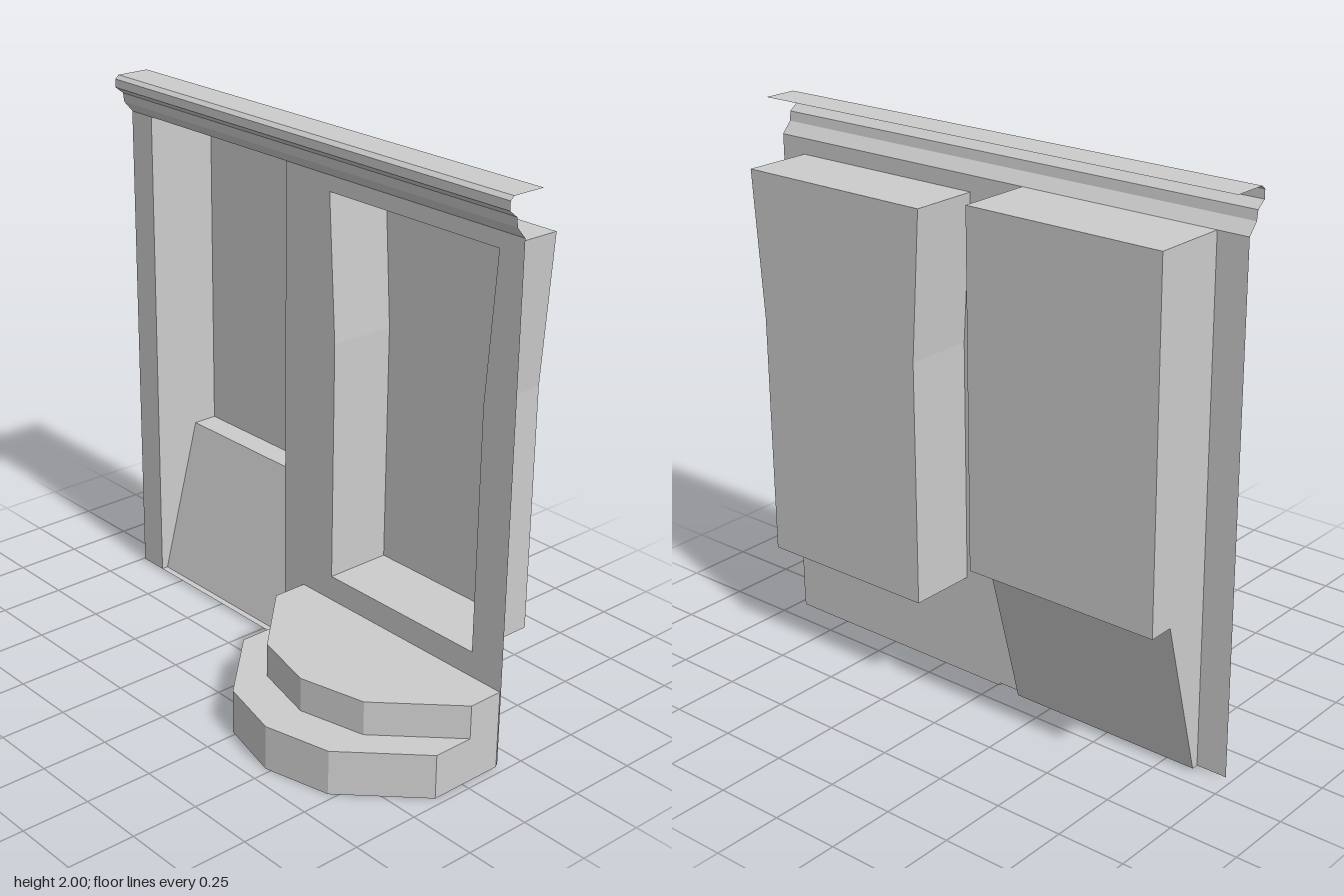
import * as THREE from 'three';

const material = new THREE.MeshStandardMaterial({
  color: 0xcccccc, flatShading: true, side: THREE.DoubleSide,
});
const WALL_Z = -0.16, WALL_TOP = 1.857, WALL_BOTTOM = 0.01;
const LEFT = -0.98, RIGHT = 0.975;

function part(name, geometry, parent) {
  const mesh = new THREE.Mesh(geometry, material);
  mesh.name = name;
  parent.add(mesh);
  return mesh;
}

const shapeOf = (points) => new THREE.Shape(points.map(([x, y]) => new THREE.Vector2(x, y)));

// Flat facets joining two matching rows of 3D points
function strip(a, b) {
  const pos = [];
  for (let i = 0; i < a.length - 1; i++) {
    pos.push(...a[i], ...b[i], ...b[i + 1], ...a[i], ...b[i + 1], ...a[i + 1]);
  }
  const geometry = new THREE.BufferGeometry();
  geometry.setAttribute('position', new THREE.Float32BufferAttribute(pos, 3));
  geometry.computeVertexNormals();
  return geometry;
}

// Sweep a [z, y] profile along x
const sweepX = (profile, x0, x1) =>
  strip(profile.map(([z, y]) => [x0, y, z]), profile.map(([z, y]) => [x1, y, z]));

export function createModel() {
  const model = new THREE.Group();
  model.name = 'wallWithAlcoves';

  // Tapered niche outline, clockwise from the lower left corner
  const nicheOutline = [[0.14, 0.383], [0.14, 1.27], [0.105, 1.8], [0.873, 1.8], [0.837, 1.27], [0.837, 0.383]];
  const alcoveX = [-0.865, -0.115];

  // Wall panels either side of the tall alcove
  const panel = (x0, x1) =>
    shapeOf([[x0, WALL_BOTTOM], [x1, WALL_BOTTOM], [x1, WALL_TOP], [x0, WALL_TOP]]);
  const nichePanel = panel(alcoveX[1], RIGHT);
  nichePanel.holes.push(shapeOf(nicheOutline));
  part('wallEdge', new THREE.ShapeGeometry(panel(LEFT, alcoveX[0])), model).position.z = WALL_Z;
  part('wallPanel', new THREE.ShapeGeometry(nichePanel), model).position.z = WALL_Z;

  // Niche recessed behind the panel
  const niche = new THREE.Group();
  niche.name = 'niche';
  model.add(niche);
  const nicheBack = -0.415;
  const loop = [...nicheOutline, nicheOutline[0]];
  part('nicheSides', strip(
    loop.map(([x, y]) => [x, y, WALL_Z]),
    loop.map(([x, y]) => [x, y, nicheBack]),
  ), niche);
  part('nicheBack', new THREE.ShapeGeometry(shapeOf(nicheOutline)), niche).position.z = nicheBack;

  // Tall alcove with a sloping base and ledge
  const alcove = new THREE.Group();
  alcove.name = 'alcove';
  model.add(alcove);
  const alcoveProfile = [
    [WALL_Z, WALL_BOTTOM], [-0.185, WALL_BOTTOM], [-0.34, 0.597],
    [-0.435, 0.597], [-0.435, WALL_TOP], [WALL_Z, WALL_TOP],
  ];
  part('alcoveShell', sweepX(alcoveProfile, ...alcoveX), alcove);
  for (const x of alcoveX) {
    const side = new THREE.ShapeGeometry(shapeOf(alcoveProfile.map(([z, y]) => [-z, y])));
    side.rotateY(Math.PI / 2);
    part('alcoveSide', side, alcove).position.x = x;
  }

  // Open moulding along the top
  part('cornice', sweepX([
    [WALL_Z, WALL_TOP], [-0.125, 1.897], [-0.12, 1.931], [-0.088, 1.956],
    [-0.088, 1.987], [-0.103, 2], [-0.23, 2],
  ], LEFT, RIGHT), model);

  // Two faceted steps
  const addStep = (name, frontZ, y, height) => {
    const outline = [
      [-0.01, WALL_Z], [-0.01, frontZ - 0.31], [0.235, frontZ - 0.06], [0.48, frontZ],
      [0.725, frontZ - 0.06], [0.97, frontZ - 0.31], [0.97, WALL_Z],
    ];
    const geometry = new THREE.ExtrudeGeometry(
      shapeOf(outline.map(([x, z]) => [x, -z])), { depth: height, bevelEnabled: false });
    geometry.rotateX(-Math.PI / 2);
    part(name, geometry, model).position.y = y;
  };
  addStep('lowerStep', 0.435, 0, 0.165);
  addStep('upperStep', 0.282, 0.165, 0.125);

  return model;
}
